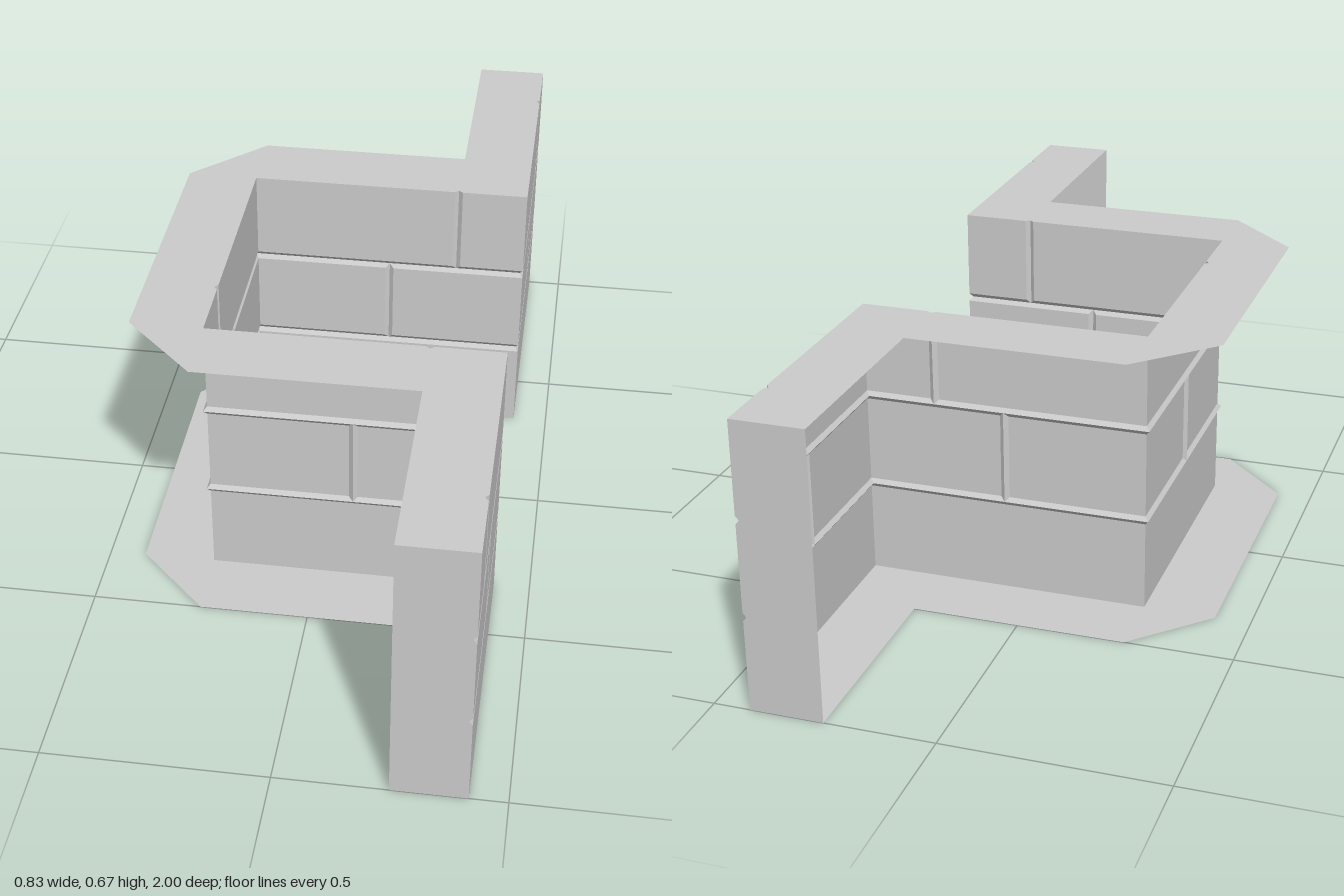
import * as THREE from 'three';

const L = 2 / 3, C = L / 3;      // wall length (also height) and course height
const H = 0.01, D = 0.008;       // half width and depth of the mortar joints
const FRONT = 1.25 / 3, BACK = 0.25;

// Each wall: start corner, heading, mitre of its joints at both ends, position of the top joint
const WALLS = [
  { name: 'leftWingWall', x: FRONT, z: 1, turn: Math.PI / 2, m0: 0, m1: -1, top: L / 4 },
  { name: 'leftRecessWall', x: FRONT, z: L / 2, turn: Math.PI, m0: 1, m1: 1, top: L / 4 },
  { name: 'recessBackWall', x: -BACK, z: L / 2, turn: Math.PI / 2, m0: -1, m1: 1, top: L / 4 },
  { name: 'rightRecessWall', x: -BACK, z: -L / 2, turn: 0, m0: -1, m1: -1, top: L * 0.75 },
  { name: 'rightWingWall', x: FRONT, z: -L / 2, turn: Math.PI / 2, m0: 1, m1: 0, top: L * 0.75 },
];

const material = new THREE.MeshStandardMaterial({ color: 0xcccccc, side: THREE.DoubleSide, flatShading: true });

// A brick face: flat panel plus bevels sinking to depth D on its jointed sides
function addBrick(out, wall, s0, s1, y0, y1) {
  const jl = s0 > 0, jr = s1 < L, jb = y0 > 0, jt = y1 < L - 1e-6;
  const il = s0 + (jl ? H : 0), ir = s1 - (jr ? H : 0);
  const ib = y0 + (jb ? H : 0), it = y1 - (jt ? H : 0);
  const ol = jl ? s0 : s0 + wall.m0 * D, or = jr ? s1 : s1 + wall.m1 * D;
  const inner = [[il, ib, 0], [ir, ib, 0], [ir, it, 0], [il, it, 0]];
  // at an unjointed corner of a side bevel the outer point keeps the panel's height
  const outer = [[ol, y0, -D], [or, y0, -D], [or, y1, -D], [ol, y1, -D]];
  const quad = (a, b, c, d) => out.push(...a, ...b, ...c, ...a, ...c, ...d);
  quad(...inner);
  [jb, jr, jt, jl].forEach((jointed, i) => {
    const k = (i + 1) % 4;
    if (jointed) quad(outer[i], outer[k], inner[k], inner[i]);
  });
}

function makeWall(wall) {
  const out = [];
  [null, L / 2, wall.top].forEach((joint, row) => {
    const cuts = joint === null ? [0, L] : [0, joint, L];
    for (let i = 0; i < cuts.length - 1; i++) {
      addBrick(out, wall, cuts[i], cuts[i + 1], row * C, (row + 1) * C);
    }
  });
  const geo = new THREE.BufferGeometry();
  geo.setAttribute('position', new THREE.Float32BufferAttribute(out, 3));
  geo.computeVertexNormals();
  const mesh = new THREE.Mesh(geo, material);
  mesh.name = wall.name;
  mesh.position.set(wall.x, 0, wall.z);
  mesh.rotation.y = wall.turn;
  return mesh;
}

// Plan outline of the wall, optionally nicked where the top joints reach it
function planShape(nicked, sign) {
  const pts = [];
  for (const w of WALLS) {
    const c = Math.cos(w.turn), s = Math.sin(w.turn);
    const put = (u, v) => pts.push([w.x + u * c + v * s, w.z - u * s + v * c]);
    put(0, 0);
    if (nicked) { put(w.top - H, 0); put(w.top, -D); put(w.top + H, 0); }
  }
  pts.push([FRONT, -1], [BACK, -1], [BACK, -0.5], [-BACK, -0.5], [-FRONT, -L / 2],
    [-FRONT, L / 2], [-BACK, 0.5], [BACK, 0.5], [BACK, 1]);
  return new THREE.Shape(pts.map(([x, z]) => new THREE.Vector2(x, sign * z)));
}

export function createModel() {
  const group = new THREE.Group();
  group.name = 'brickWallRecess';
  const add = (name, geo) => {
    const mesh = new THREE.Mesh(geo, material);
    mesh.name = name;
    group.add(mesh);
    return mesh;
  };

  // Brick faces
  WALLS.forEach((w) => group.add(makeWall(w)));

  // Top and bottom strips
  add('topStrip', new THREE.ShapeGeometry(planShape(true, -1)).rotateX(-Math.PI / 2)).position.y = L;
  add('bottomStrip', new THREE.ShapeGeometry(planShape(false, 1)).rotateX(Math.PI / 2));

  // End caps, notched by the horizontal joints
  for (const side of [1, -1]) {
    const pts = [[BACK, 0], [FRONT, 0]];
    for (const y of [C, 2 * C]) pts.push([FRONT, y - H], [FRONT - D, y], [FRONT, y + H]);
    pts.push([FRONT, L], [BACK, L]);
    const shape = new THREE.Shape(pts.map(([x, y]) => new THREE.Vector2(side * x, y)));
    const cap = add(side > 0 ? 'leftEndCap' : 'rightEndCap', new THREE.ShapeGeometry(shape));
    cap.position.z = side;
    if (side < 0) cap.rotation.y = Math.PI;
  }
  return group;
}
